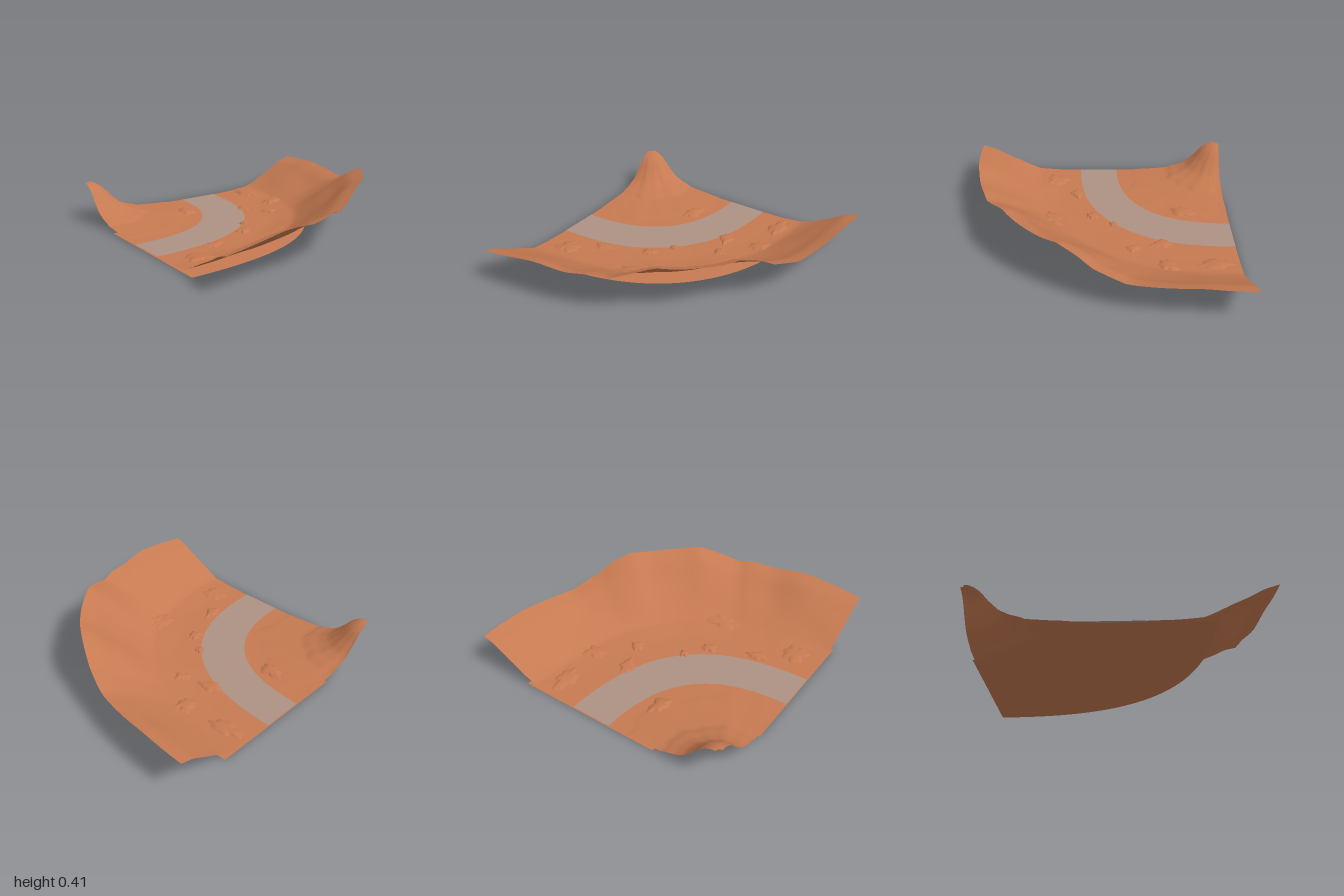
import * as THREE from 'three';

const CX = -1, CZ = -1; // centre of the bend

// Piecewise-linear lookup in [[key, value], ...]
function lookup(table, k) {
  for (let i = 1; i < table.length; i++) {
    const [a, va] = table[i - 1], [b, vb] = table[i];
    if (k <= b) return va + (vb - va) * Math.max(0, (k - a) / (b - a));
  }
  return table[table.length - 1][1];
}

// Every ring of the bend bulges a little on the diagonal
const bulge = a => 1 + 0.065 * Math.sin(2 * a) ** 2;

// Surface from a grid of points: point(u, v) gives [x, y, z]
function surface(name, material, rows, cols, point) {
  const pos = [], idx = [];
  for (let i = 0; i <= rows; i++) {
    for (let j = 0; j <= cols; j++) {
      pos.push(...point(i / rows, j / cols));
      if (i < rows && j < cols) {
        const p = i * (cols + 1) + j, q = p + cols + 1;
        idx.push(p, p + 1, q, p + 1, q + 1, q);
      }
    }
  }
  const g = new THREE.BufferGeometry();
  g.setAttribute('position', new THREE.Float32BufferAttribute(pos, 3));
  g.setIndex(idx);
  g.computeVertexNormals();
  const mesh = new THREE.Mesh(g, material);
  mesh.name = name;
  return mesh;
}

// Quarter-circle sheet between two radii with height(r, angle)
function sheet(name, material, r0, r1, rings, steps, height) {
  return surface(name, material, rings, steps, (u, v) => {
    const a = v * Math.PI / 2, r = r0 + u * (r1 - r0), R = r * bulge(a);
    return [CX + R * Math.cos(a), height(r, a), CZ + R * Math.sin(a)];
  });
}

// Rim height by angle in degrees, from +x towards +z
const RIM = [[0, 0.25], [10, 0.265], [17, 0.245], [23.6, 0.23], [30, 0.295], [33.6, 0.37],
  [37.5, 0.41], [41.2, 0.395], [48.8, 0.4], [53, 0.415], [57.4, 0.36], [61.6, 0.305],
  [64.4, 0.32], [70, 0.295], [75.8, 0.315], [78.6, 0.31], [90, 0.25]];
// Share of the rim height by radius
const SLOPE = [[1.17, 0.04], [1.36, 0.06], [1.53, 0.125], [1.62, 0.28], [1.7, 0.44],
  [1.8, 0.64], [1.9, 0.87], [2, 1]];
// Hill height by radius
const HILL = [[0, 0.288], [0.06, 0.284], [0.1, 0.265], [0.14, 0.235], [0.2, 0.165], [0.27, 0.1],
  [0.34, 0.068], [0.41, 0.05], [0.44, 0.036], [0.6, 0.024], [0.72, 0.018], [0.76, 0.012], [0.87, 0.011]];

function hillHeight(r, a) {
  const wave = 1 + r * (0.06 * Math.sin(a * 9 + 1) + 0.035 * Math.sin(a * 21));
  return lookup(HILL, r * wave);
}

function slopeHeight(r, a) {
  const u = (r - 1.17) / 0.83;
  const lump = 0.04 * u * u * (1 - u) * Math.sin(a * 11 + r * 6) * Math.sin(r * 9 + a * 3);
  return lookup(RIM, THREE.MathUtils.radToDeg(a)) * lookup(SLOPE, r) + lump;
}

// Terrain height under a rock patch
function terrain(x, z) {
  const a = Math.atan2(z - CZ, x - CX);
  const r = Math.hypot(x - CX, z - CZ) / bulge(a);
  return r < 1 ? hillHeight(r, a) : slopeHeight(Math.max(r, 1.17), a);
}

// Rock patches: x, z, width, depth, turn
const ROCKS = [
  [-0.30, -0.65, 0.14, 0.23, -0.2], [0.14, -0.45, 0.13, 0.2, 0.4], [0.40, -0.82, 0.16, 0.3, 0.1],
  [0.42, -0.48, 0.2, 0.15, 0.5], [0.21, -0.24, 0.11, 0.14, 0.8], [-0.24, 0.06, 0.14, 0.11, 0.3],
  [-0.12, -0.10, 0.08, 0.08, 0], [-0.58, 0.19, 0.19, 0.11, 0.2], [-0.80, 0.36, 0.22, 0.22, 0.6],
  [-0.17, 0.36, 0.29, 0.15, 0.3]];

export function createModel() {
  const group = new THREE.Group();
  const make = (name, color) => {
    const m = new THREE.MeshStandardMaterial({ color, side: THREE.DoubleSide });
    m.name = name;
    return m;
  };
  const clay = make('clay', 0xc67a51);
  const asphalt = make('asphalt', 0xae9283);

  // Flat ground under the bend, open beneath the hill
  group.add(sheet('ground', clay, 0.5, 1.605, 2, 40, () => 0));

  // Hill in the inner corner with softly wavy ledges
  group.add(sheet('hill', clay, 0.03, 0.86, 40, 40, hillHeight));

  // Road bend
  group.add(sheet('road', asphalt, 0.86, 1.17, 1, 48, () => 0.012));

  // Outer canyon slope rising to an uneven rim
  group.add(sheet('outerSlope', clay, 1.17, 2, 28, 60, slopeHeight));

  // Low domed rock patches along the verges, draped on the terrain
  ROCKS.forEach(([cx, cz, w, d, turn], n) => {
    group.add(surface('rockPatch' + (n + 1), clay, 4, 36, (u, v) => {
      const t = v * Math.PI * 2;
      const k = u * (0.43 + 0.05 * Math.sin(4 * t + n) + 0.05 * Math.sin(7 * t + 2 * n)
        + 0.04 * Math.sin(3 * t + 3 * n));
      const p = w * k * Math.cos(t), q = d * k * Math.sin(t);
      const x = cx + p * Math.cos(turn) + q * Math.sin(turn);
      const z = cz - p * Math.sin(turn) + q * Math.cos(turn);
      return [x, terrain(x, z) + 0.016 * (1 - u ** 4) - 0.002, z];
    }));
  });

  return group;
}
